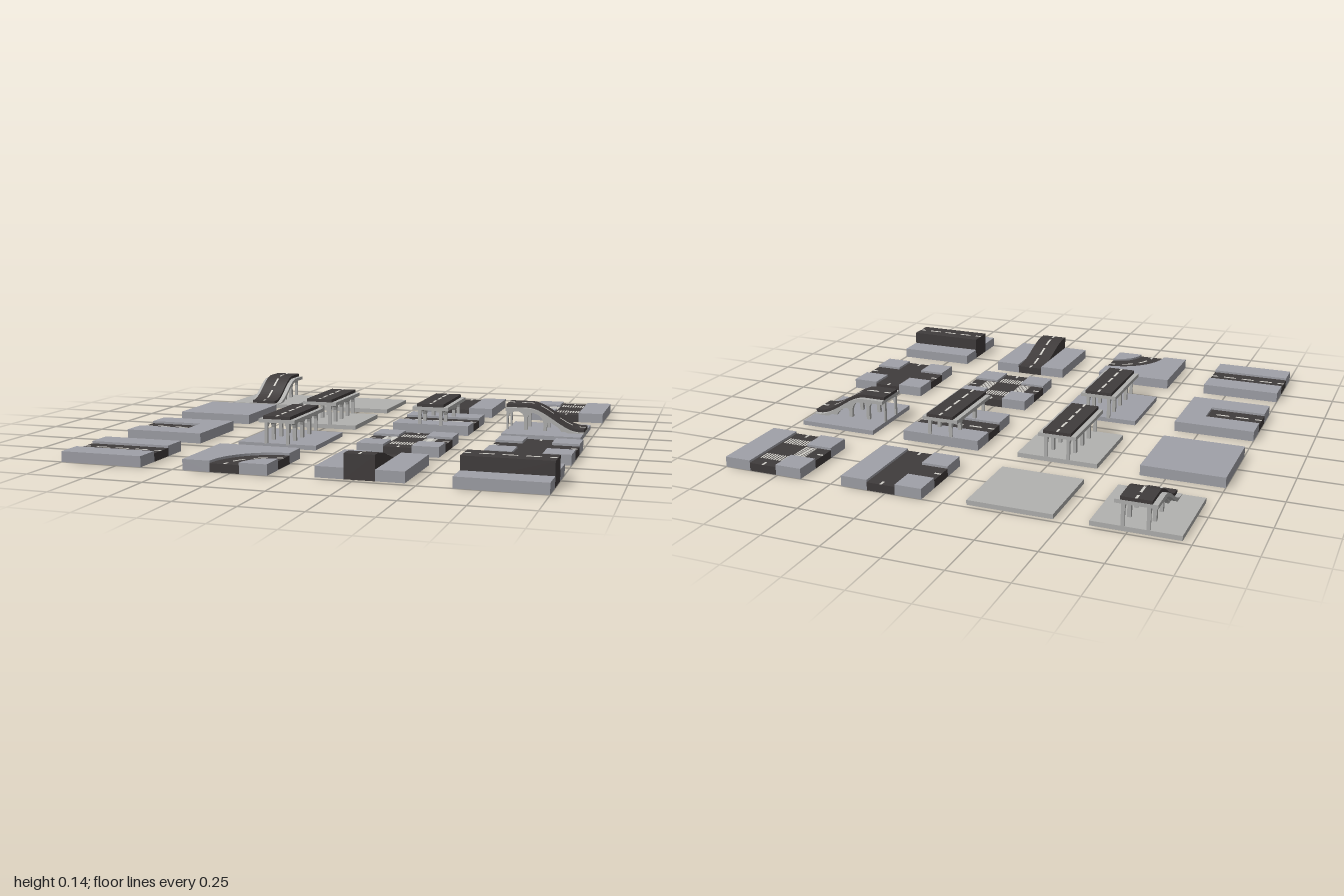
import * as THREE from 'three';

const GREY = 0xa0a1a8, PALE = 0xb2b2b0, ROAD = 0x403c3c, PAINT = 0xd4d2cc;
const S = 0.18;        // half tile
const R = 0.0625;      // half road width
const TOP = 0.045;     // pavement height
const LOW = 0.035;     // sunken road height
const PLATE = 0.02;    // thin base height
const PITCH = 0.09;    // lane dash spacing

const materials = {};
const mat = (color) => (materials[color] ??= new THREE.MeshStandardMaterial({ color, flatShading: true }));

function add(g, name, geo, color) {
  const m = new THREE.Mesh(geo, mat(color));
  m.name = name;
  g.add(m);
  return m;
}

// box given by its limits in plan and height
function slab(g, name, x0, x1, z0, z1, y0, y1, color) {
  const geo = new THREE.BoxGeometry(x1 - x0, y1 - y0, z1 - z0);
  geo.translate((x0 + x1) / 2, (y0 + y1) / 2, (z0 + z1) / 2);
  return add(g, name, geo, color);
}

// side profile between two height functions along x, extruded across z
function ribbon(g, name, u0, u1, bottom, top, z0, z1, color, n = 24) {
  const us = Array.from({ length: n + 1 }, (_, i) => u0 + (u1 - u0) * i / n);
  const pts = us.map((u) => new THREE.Vector2(u, bottom(u)));
  pts.push(...us.reverse().map((u) => new THREE.Vector2(u, top(u))));
  const geo = new THREE.ExtrudeGeometry(new THREE.Shape(pts), { depth: z1 - z0, bevelEnabled: false });
  geo.translate(0, 0, z0);
  return add(g, name, geo, color);
}

// plan outline extruded upwards (shape y is -z)
function planSlab(g, name, shape, y0, y1, color) {
  const geo = new THREE.ExtrudeGeometry(shape, { depth: y1 - y0, bevelEnabled: false, curveSegments: 16 });
  geo.rotateX(-Math.PI / 2).translate(0, y0, 0);
  return add(g, name, geo, color);
}

// dashes along x, clipped to the given range and following a height function
function dashes(g, h, from = -S, to = S) {
  for (let i = -2; i <= 2; i++) {
    const a = Math.max(from, i * PITCH - 0.03), b = Math.min(to, i * PITCH + 0.03);
    if (b - a > 0.01) ribbon(g, 'laneDash', a, b, h, (u) => h(u) + 0.0012, -0.005, 0.005, PAINT, 6);
  }
}

const flat = (y) => () => y;
const slope = (high, low, a, b) => (u) => high + (low - high) * THREE.MathUtils.smoothstep(u, a, b);

function pavementStrips(g) {
  slab(g, 'pavement', -S, S, -S, -R, 0, TOP, GREY);
  slab(g, 'pavement', -S, S, R, S, 0, TOP, GREY);
}

// solid road along x at the height given by h
function straight(g, h = flat(LOW)) {
  pavementStrips(g);
  ribbon(g, 'road', -S, S, flat(0), h, -R, R, ROAD);
  dashes(g, h);
}

function plain(color, height) {
  return (g) => slab(g, 'base', -S, S, -S, S, 0, height, color);
}

function deadEnd(g) {
  const end = 0.065;
  pavementStrips(g);
  slab(g, 'pavement', end, S, -R, R, 0, TOP, GREY);
  slab(g, 'road', -S, end, -R, R, 0, LOW, ROAD);
  dashes(g, flat(LOW), -S, end);
}

// crossroads or T junction, with optional striped crossings
function junction(eastArm, crossings) {
  return (g) => {
    slab(g, 'road', -R, R, -S, S, 0, LOW, ROAD);
    slab(g, 'sideRoad', -S, -R, -R, R, 0, LOW, ROAD);
    for (const s of [-1, 1]) {
      const z0 = s < 0 ? -S : R, z1 = s < 0 ? -R : S;
      slab(g, 'pavement', -S, -R, z0, z1, 0, TOP, GREY);
      if (eastArm) slab(g, 'pavement', R, S, z0, z1, 0, TOP, GREY);
    }
    if (eastArm) slab(g, 'sideRoad', R, S, -R, R, 0, LOW, ROAD);
    else slab(g, 'pavement', R, S, -S, S, 0, TOP, GREY);
    const arms = eastArm ? [0, 1, 2, 3] : [1, 2, 3];
    for (const k of arms) {
      const arm = new THREE.Group();
      arm.name = 'armMarkings';
      arm.rotation.y = k * Math.PI / 2;
      slab(arm, 'laneDash', S - 0.028, S, -0.005, 0.005, LOW, LOW + 0.0012, PAINT);
      for (let i = -4; crossings && i <= 4; i++)
        slab(arm, 'crossingStripe', 0.062, 0.117, i * 0.0125 - 0.0035, i * 0.0125 + 0.0035, LOW, LOW + 0.0012, PAINT);
      g.add(arm);
    }
  };
}

// quarter turn around the +x +z corner
function bend(g) {
  const inner = S - R, outer = S + R, PI = Math.PI;
  const sector = (r0, r1, a0, a1) => {
    const s = new THREE.Shape();
    s.absarc(S, -S, r1, a0, a1, false);
    if (r0 > 0) s.absarc(S, -S, r0, a1, a0, true);
    else s.lineTo(S, -S);
    return s;
  };
  planSlab(g, 'road', sector(inner, outer, PI / 2, PI), 0, LOW, ROAD);
  planSlab(g, 'innerPavement', sector(0, inner, PI / 2, PI), 0, TOP, GREY);
  const rest = new THREE.Shape();
  rest.absarc(S, -S, outer, PI / 2, PI, false);
  rest.lineTo(-S, -S);
  rest.lineTo(-S, S);
  rest.lineTo(S, S);
  planSlab(g, 'outerPavement', rest, 0, TOP, GREY);
  for (let i = 0; i <= 3; i++) {
    const mid = PI / 2 + i * PI / 6;
    const a0 = Math.max(PI / 2, mid - 0.16), a1 = Math.min(PI, mid + 0.16);
    planSlab(g, 'laneDash', sector(S - 0.005, S + 0.005, a0, a1), LOW, LOW + 0.0012, PAINT);
  }
}

// raised road on two arcaded walls; piers lists the pier centres along x
function bridge(g, h, ground, piers = [-S, -PITCH, 0, PITCH, S]) {
  const half = 0.008;
  const deckTop = (u) => h(u) - 0.014;
  const deckBottom = (u) => Math.max(h(u) - 0.03, 0.008);
  ribbon(g, 'road', -S, S, deckTop, h, -R, R, ROAD);
  ribbon(g, 'deck', -S, S, deckBottom, deckTop, -0.084, 0.084, PALE);
  dashes(g, h);
  for (const z of [-0.05, 0.05]) {
    const wall = (name, a, b, bottom, n) =>
      ribbon(g, name, a, b, bottom, (u) => Math.max(deckBottom(u) + 0.002, bottom(u) + 0.001), z - 0.0075, z + 0.0075, PALE, n);
    piers.forEach((p, i) => {
      wall('pier', Math.max(-S, p - half), Math.min(S, p + half), flat(ground - 0.005), 2);
      if (i === piers.length - 1) return;
      const a = p + half, b = piers[i + 1] - half, mid = (a + b) / 2, r = (b - a) / 2;
      const arch = (u) => {
        const s = Math.min(1, Math.abs(u - mid) / r);
        return Math.max(ground - 0.005, deckBottom(u) - 0.004 - 0.028 * (1 - Math.sqrt(1 - s * s)));
      };
      wall('arch', a, b, arch, 16);
    });
  }
}

const HIGH = 0.14;
const rampProfile = slope(HIGH, 0.037, -0.08, 0.16);
const bridgeTile = (color, h) => (g) => {
  plain(color, PLATE)(g);
  bridge(g, h, PLATE);
};

// low road along z's cross direction passing under a bridge
function underpass(g) {
  const lower = new THREE.Group();
  lower.name = 'lowerRoad';
  lower.rotation.y = Math.PI / 2;
  straight(lower);
  g.add(lower);
  bridge(g, flat(HIGH), TOP, [-S, -0.08, 0.08, S]);
}

export function createModel() {
  const model = new THREE.Group();
  model.name = 'roadTileSet';
  const Q = Math.PI / 2;
  // name, centre x, centre z, turn, builder
  const tiles = [
    ['bridgeRampPale', -0.78, -0.80, -Q, bridgeTile(PALE, rampProfile)],
    ['plainPlate', -0.275, -0.80, 0, plain(PALE, PLATE)],
    ['tJunction', 0.27, -0.82, 0, junction(false, false)],
    ['tJunctionCrossing', 0.82, -0.82, 0, junction(false, true)],
    ['plainPavement', -0.82, -0.275, 0, plain(GREY, TOP)],
    ['bridgePale', -0.275, -0.275, Q, bridgeTile(PALE, flat(HIGH))],
    ['bridgeOverRoad', 0.27, -0.275, Q, underpass],
    ['bridgeRampGrey', 0.785, -0.275, 0, bridgeTile(GREY, rampProfile)],
    ['deadEnd', -0.82, 0.27, 0, deadEnd],
    ['bridgeGrey', -0.275, 0.27, Q, bridgeTile(GREY, flat(HIGH))],
    ['crossroadsCrossing', 0.27, 0.27, 0, junction(true, true)],
    ['crossroads', 0.82, 0.27, 0, junction(true, false)],
    ['straightRoad', -0.82, 0.82, 0, straight],
    ['bend', -0.275, 0.82, 0, bend],
    ['solidRamp', 0.27, 0.79, Q, (g) => straight(g, slope(0.102, LOW, -0.15, 0.15))],
    ['raisedRoad', 0.82, 0.82, 0, (g) => straight(g, flat(0.102))],
  ];
  for (const [name, x, z, turn, build] of tiles) {
    const g = new THREE.Group();
    g.name = name;
    g.position.set(x, 0, z);
    g.rotation.y = turn;
    build(g);
    model.add(g);
  }
  return model;
}
